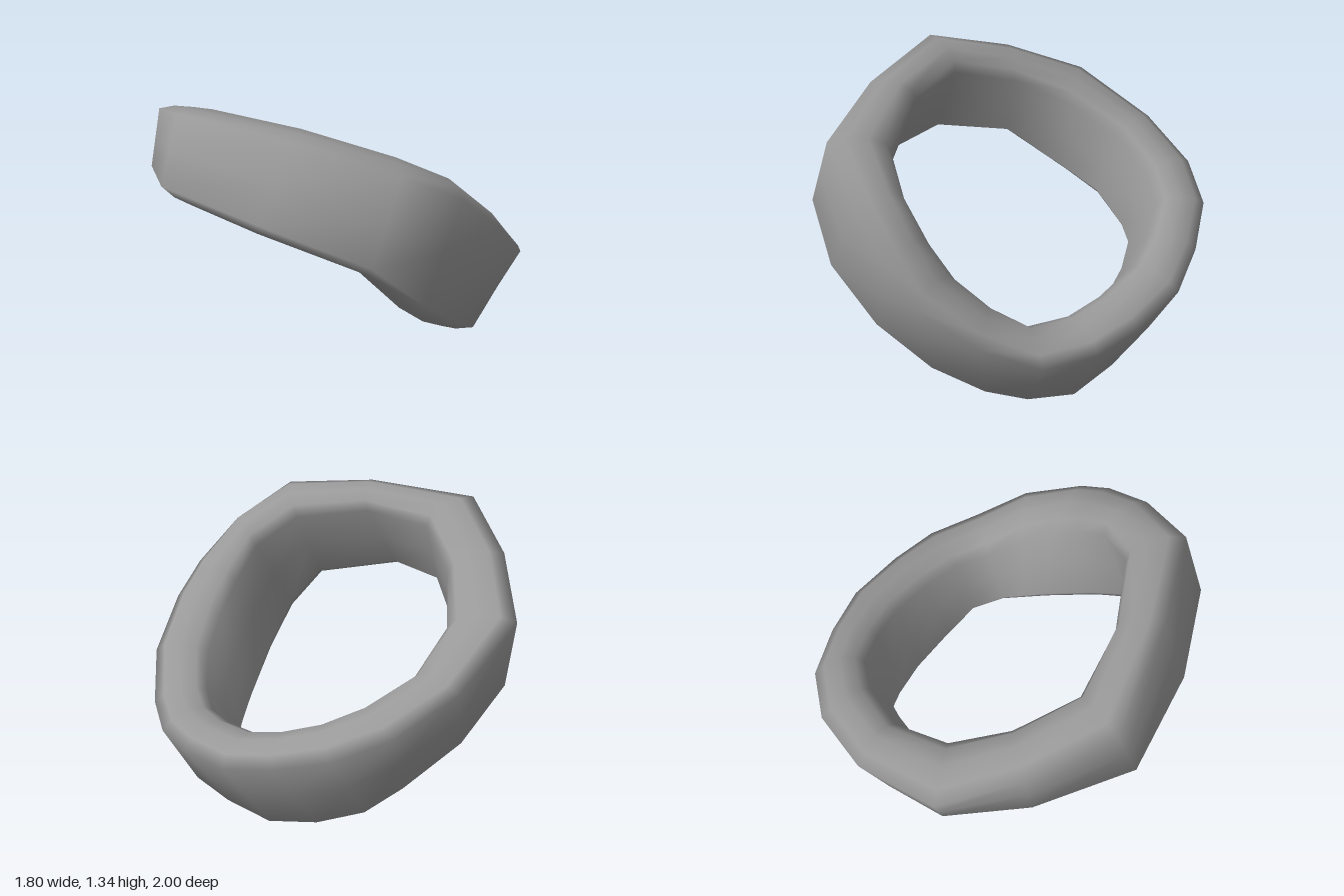
import * as THREE from 'three';

// Stations around the ring, clockwise from above: outer lower edge x, y, z,
// outer upper edge x, y, z, inner upper edge x, z
const STATIONS = [
  [-0.90, 1.02, 0.30, -0.80, 1.33, 0.22, -0.53, 0.15],
  [-0.88, 0.92, -0.20, -0.82, 1.21, -0.22, -0.55, -0.18],
  [-0.73, 0.70, -0.60, -0.75, 1.05, -0.63, -0.47, -0.47],
  [-0.46, 0.54, -0.80, -0.40, 0.87, -0.90, -0.25, -0.68],
  [-0.16, 0.40, -0.90, -0.07, 0.74, -1.00, 0.00, -0.74],
  [0.02, 0.29, -0.90, 0.20, 0.64, -0.97, 0.18, -0.72],
  [0.22, 0.17, -0.78, 0.44, 0.53, -0.82, 0.33, -0.61],
  [0.42, 0.07, -0.60, 0.64, 0.44, -0.64, 0.46, -0.47],
  [0.59, 0.02, -0.33, 0.79, 0.38, -0.37, 0.57, -0.26],
  [0.72, 0.00, -0.08, 0.88, 0.35, -0.13, 0.63, -0.08],
  [0.72, 0.03, 0.16, 0.90, 0.35, 0.15, 0.64, 0.13],
  [0.67, 0.09, 0.36, 0.86, 0.50, 0.43, 0.61, 0.31],
  [0.55, 0.20, 0.59, 0.71, 0.68, 0.69, 0.52, 0.46],
  [0.37, 0.38, 0.81, 0.57, 0.84, 0.78, 0.42, 0.54],
  [0.13, 0.60, 0.97, 0.34, 1.04, 0.87, 0.29, 0.61],
  [-0.12, 0.83, 1.00, 0.03, 1.21, 0.92, 0.06, 0.62],
  [-0.55, 0.96, 0.70, -0.37, 1.30, 0.63, -0.28, 0.42],
];

// Cross-section: t runs from outer to inner wall, s from lower to upper edge
const SECTION = [
  [0, 0], [0, 0.5], [0, 1], [0.25, 1.09], [0.6, 1.12], [0.88, 1.05],
  [1, 0.92], [1, 0.45], [1, -0.02], [0.88, -0.12], [0.6, -0.15], [0.25, -0.1],
];

function bandGeometry() {
  const n = STATIONS.length, m = SECTION.length;
  const positions = [], index = [];
  STATIONS.forEach(([lx, ly, lz, ux, uy, uz, ix, iz], i) => {
    const low = new THREE.Vector3(lx, ly, lz);
    const high = new THREE.Vector3(ux, uy, uz);
    const inward = new THREE.Vector3(ix - ux, 0, iz - uz);
    for (const [t, s] of SECTION) {
      // The rims follow the tilt of the ring, the upper one less steeply
      inward.y = -(0.45 - 0.17 * s) * inward.x + 0.17 * inward.z;
      const p = low.clone().lerp(high, s).addScaledVector(inward, t);
      positions.push(p.x, Math.max(p.y, 0), p.z);
    }
    for (let j = 0; j < m; j++) {
      const a = i * m + j, b = i * m + (j + 1) % m;
      const c = ((i + 1) % n) * m + j, d = ((i + 1) % n) * m + (j + 1) % m;
      index.push(a, b, c, b, d, c);
    }
  });
  const geometry = new THREE.BufferGeometry();
  geometry.setAttribute('position', new THREE.Float32BufferAttribute(positions, 3));
  geometry.setIndex(index);
  geometry.computeVertexNormals();
  return geometry;
}

export function createModel() {
  const group = new THREE.Group();
  group.name = 'ring';
  const grey = new THREE.MeshStandardMaterial({ color: 0x999999 });
  grey.name = 'grey';
  // Tilted, irregular band with rounded rims
  const band = new THREE.Mesh(bandGeometry(), grey);
  band.name = 'band';
  group.add(band);
  return group;
}
